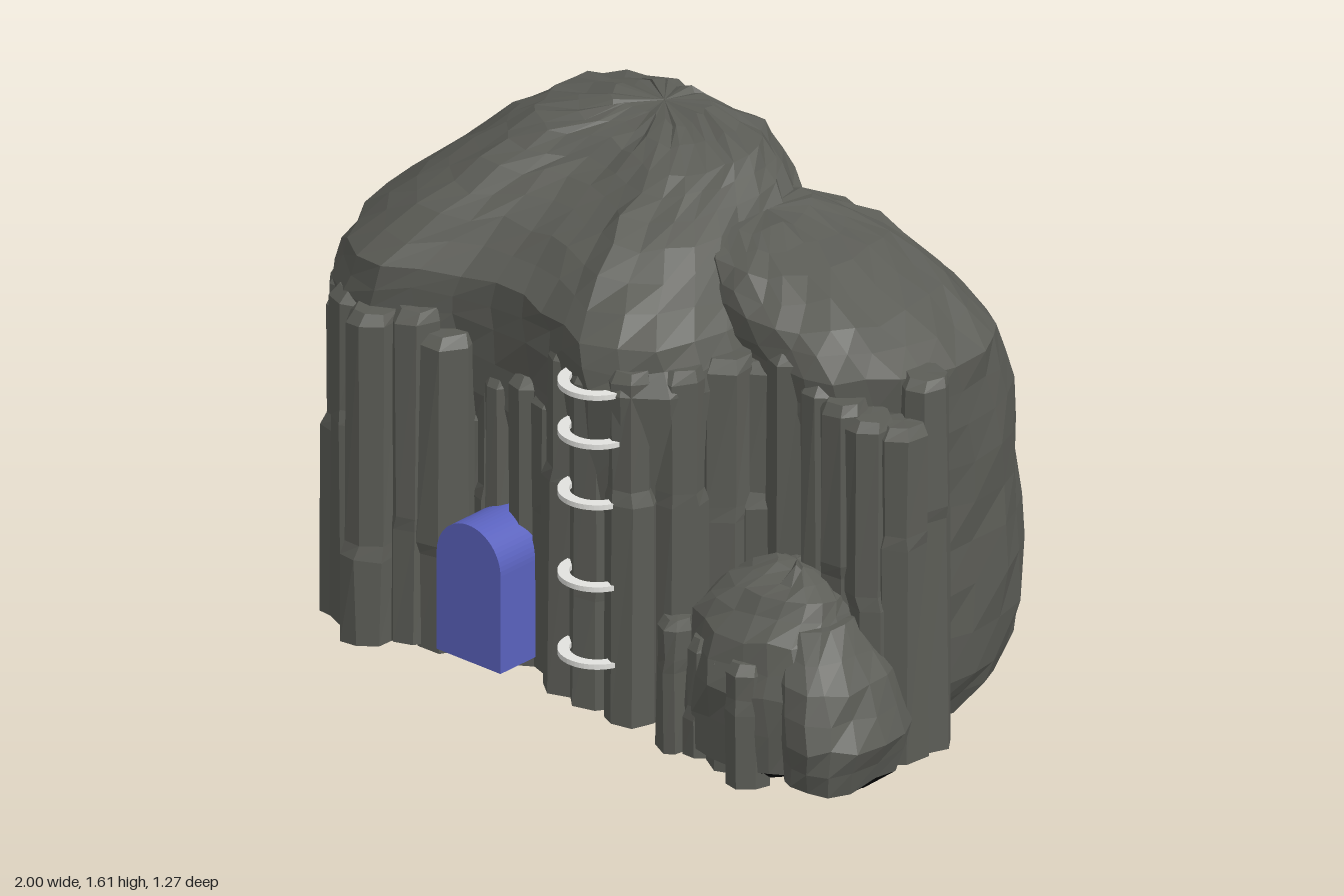
import * as THREE from 'three';

const rock = new THREE.MeshStandardMaterial({ color: 0x5b5c56 });
rock.name = 'dark grey rock';
const black = new THREE.MeshStandardMaterial({ color: 0x070707 });
black.name = 'black underside';
const blue = new THREE.MeshStandardMaterial({ color: 0x5a62be });
blue.name = 'blue door';
const metal = new THREE.MeshStandardMaterial({ color: 0xe2e2de });
metal.name = 'pale metal';

// Seeded random numbers
let seed = 7;
const rand = () => {
  seed = (seed * 16807) % 2147483647;
  return seed / 2147483647 - 0.5;
};

// Rounded-square outline with n points; p below 1 makes it boxier
function roundOutline(n, p) {
  return Array.from({ length: n }, (_, i) => {
    const a = (i / n) * Math.PI * 2, c = Math.cos(a), s = Math.sin(a);
    return [Math.sign(c) * Math.abs(c) ** p, Math.sign(s) * Math.abs(s) ** p];
  });
}

// Halve the spacing of the cross-sections
function refine(rows) {
  return rows.flatMap((r, i) =>
    i ? [r.map((v, k) => (v + rows[i - 1][k]) / 2), r] : [r]);
}

// Capped, faceted solid through rows of [y, centreX, centreZ, scaleX, scaleZ];
// the bottom cap and the first blackStrips bands are black
function loft(name, outline, rows, jitter, blackStrips = 0, bend = (x, y) => y) {
  const n = outline.length, pos = [], idx = [];
  for (const [y, cx, cz, sx, sz] of rows) {
    for (const [ox, oz] of outline) {
      const x = cx + ox * sx + rand() * jitter;
      pos.push(x, bend(x, y) + rand() * jitter, cz + oz * sz + rand() * jitter);
    }
  }
  const first = rows[0], last = rows[rows.length - 1];
  const c0 = pos.length / 3, top = (rows.length - 1) * n;
  pos.push(first[1], bend(first[1], first[0]), first[2], last[1], last[0], last[2]);
  for (let j = 0; j < n; j++) idx.push(c0, j, (j + 1) % n);
  for (let i = 0; i < rows.length - 1; i++) {
    for (let j = 0; j < n; j++) {
      const a = i * n + j, b = i * n + (j + 1) % n;
      idx.push(a, a + n, b, b, a + n, b + n);
    }
  }
  for (let j = 0; j < n; j++) idx.push(c0 + 1, top + (j + 1) % n, top + j);
  const indexed = new THREE.BufferGeometry();
  indexed.setAttribute('position', new THREE.Float32BufferAttribute(pos, 3));
  indexed.setIndex(idx);
  const geo = indexed.toNonIndexed();
  geo.computeVertexNormals();
  const split = 3 * n + 6 * n * blackStrips;
  geo.addGroup(0, split, 0);
  geo.addGroup(split, idx.length - split, 1);
  const mesh = new THREE.Mesh(geo, [black, rock]);
  mesh.name = name;
  return mesh;
}

// Irregular basalt column with a slightly stepped joint
function column(x, z, r, y0, y1) {
  const joint = y0 + (y1 - y0) * (0.5 + rand() * 0.5);
  const k = r * (0.95 + rand() * 0.2), dx = x + rand() * 0.02, dz = z + rand() * 0.02;
  const turn = rand();
  const outline = Array.from({ length: 7 }, (_, i) => {
    const a = (i / 7) * Math.PI * 2 + turn + rand() * 0.3;
    return [Math.cos(a), Math.sin(a)];
  });
  return loft('rockColumn', outline, [
    [y0, x, z, r, r], [joint - 0.02, x, z, r, r], [joint + 0.02, dx, dz, k, k],
    [y1 - 0.03, dx, dz, k, k], [y1, dx, dz - 0.01, k * 0.8, k * 0.8],
  ], 0.008);
}

// Row of columns along a path whose points give x, top height and z
function columnRow(name, path, count, radius, base) {
  const group = new THREE.Group();
  group.name = name;
  const curve = new THREE.CatmullRomCurve3(path.map((p) => new THREE.Vector3(...p)));
  for (const p of curve.getSpacedPoints(count - 1)) {
    group.add(column(p.x, p.z + rand() * 0.03, radius * (1 + rand() * 0.2),
      base + rand() * 0.03, p.y + rand() * 0.06));
  }
  return group;
}

export function createModel() {
  const model = new THREE.Group();
  model.name = 'rockHouse';

  // Domed cap: plan outline about x = -0.25, with an underside that slopes to the right
  const plan = [[0.42, 0.2], [0.34, 0.44], [0.17, 0.53], [0, 0.46], [-0.2, 0.41], [-0.42, 0.44],
    [-0.62, 0.55], [-0.86, 0.36], [-0.95, 0.02], [-0.9, -0.24], [-0.66, -0.45], [-0.2, -0.47],
    [0.18, -0.44], [0.4, -0.2]];
  const curve = new THREE.CatmullRomCurve3(
    plan.map(([x, z]) => new THREE.Vector3(x + 0.25, 0, z)), true);
  const capOutline = curve.getSpacedPoints(36).slice(0, 36).map((p) => [p.x, p.z]);
  const capRows = [
    [0.7, -0.25, 0, 0.7, 0.66], [0.78, -0.25, 0, 0.87, 0.85], [0.97, -0.25, 0, 0.97, 0.98],
    [1.12, -0.25, 0, 1.03, 1.04], [1.25, -0.25, 0.02, 0.94, 0.97], [1.38, -0.23, -0.03, 0.76, 0.8],
    [1.48, -0.22, -0.09, 0.61, 0.61], [1.56, -0.2, -0.14, 0.47, 0.43], [1.603, -0.2, -0.18, 0.2, 0.2],
  ];
  model.add(loft('domedCap', capOutline, refine(capRows), 0.022, 0, (x, y) => Math.max(0.2,
    y - Math.max(0, x + 0.7) * 0.55 * THREE.MathUtils.clamp((1.1 - y) / 0.35, 0, 1))));

  // Plain inner block with the flat rear wall and black floor
  const core = new THREE.Mesh(new THREE.BoxGeometry(1.04, 0.72, 0.67),
    [rock, rock, rock, black, rock, rock]);
  core.position.set(-0.16, 0.52, 0.015);
  core.name = 'innerBlock';
  model.add(core);

  // Rear bulge on the right, sloping up into the dome and down to the ground
  model.add(loft('rearBulge', roundOutline(24, 0.85), refine([
    [0.005, 0.5, -0.27, 0.03, 0.03], [0.09, 0.5, -0.23, 0.28, 0.27], [0.22, 0.5, -0.24, 0.35, 0.36],
    [0.5, 0.5, -0.23, 0.38, 0.4], [0.75, 0.51, -0.22, 0.37, 0.38], [1, 0.54, -0.18, 0.36, 0.36],
    [1.19, 0.53, -0.14, 0.36, 0.34], [1.3, 0.44, -0.12, 0.29, 0.32], [1.39, 0.33, -0.12, 0.19, 0.26],
    [1.44, 0.22, -0.12, 0.1, 0.15],
  ]), 0.022, 2));

  // Low boulders at the front right
  model.add(loft('largeBoulder', roundOutline(18, 0.9), refine([
    [0.07, 0.6, 0.27, 0.1, 0.08], [0.13, 0.61, 0.28, 0.24, 0.2], [0.35, 0.61, 0.28, 0.25, 0.21],
    [0.5, 0.6, 0.26, 0.23, 0.18], [0.59, 0.61, 0.22, 0.17, 0.13], [0.645, 0.62, 0.2, 0.06, 0.05],
  ]), 0.022, 2));
  model.add(loft('smallBoulder', roundOutline(14, 0.9), refine([
    [0.075, 0.84, 0.25, 0.06, 0.08], [0.12, 0.85, 0.27, 0.12, 0.18], [0.25, 0.86, 0.27, 0.14, 0.2],
    [0.4, 0.82, 0.27, 0.13, 0.17], [0.53, 0.76, 0.25, 0.08, 0.1],
  ]), 0.02, 2));

  // Column walls
  model.add(columnRow('leftColumns', [[-0.91, 1.02, -0.12], [-0.91, 1.06, 0.1], [-0.86, 1.09, 0.32],
    [-0.6, 1.12, 0.55], [-0.43, 1.1, 0.43]], 11, 0.08, 0.155));
  model.add(columnRow('recessColumns', [[-0.37, 0.82, 0.37], [-0.28, 0.99, 0.36], [-0.08, 0.98, 0.39]],
    5, 0.065, 0.165));
  model.add(columnRow('ladderColumns', [[0.01, 1.15, 0.44], [0.17, 1.18, 0.475], [0.3, 1.18, 0.44],
    [0.39, 1.22, 0.24]], 5, 0.08, 0.155));
  model.add(columnRow('rightColumns', [[0.46, 1.2, 0.17], [0.65, 1.2, 0.14], [0.87, 1.1, 0.13],
    [0.88, 1.18, 0]], 7, 0.074, 0.105));
  model.add(columnRow('boulderColumns', [[0.38, 0.48, 0.41], [0.66, 0.42, 0.44]], 4, 0.055, 0.09));

  // Arched door
  const arch = new THREE.Shape();
  arch.moveTo(-0.115, 0);
  arch.lineTo(0.115, 0);
  arch.lineTo(0.115, 0.29);
  arch.absarc(0, 0.29, 0.115, 0, Math.PI);
  arch.closePath();
  const door = new THREE.Mesh(
    new THREE.ExtrudeGeometry(arch, { depth: 0.21, bevelEnabled: false, curveSegments: 14 }), blue);
  door.position.set(-0.228, 0.195, 0.36);
  door.name = 'archedDoor';
  model.add(door);

  // Flat, curved ladder rungs
  const band = new THREE.Shape();
  band.absarc(0, 0, 0.107, 0, Math.PI);
  band.absarc(0, 0, 0.075, Math.PI, 0, true);
  band.closePath();
  const rungGeo = new THREE.ExtrudeGeometry(band,
    { depth: 0.015, bevelEnabled: false, curveSegments: 12 });
  rungGeo.rotateX(Math.PI / 2);
  for (const y of [0.338, 0.568, 0.812, 0.992, 1.138]) {
    const rung = new THREE.Mesh(rungGeo, metal);
    rung.position.set(0.165, y, 0.492);
    rung.name = 'ladderRung';
    model.add(rung);
  }
  return model;
}
